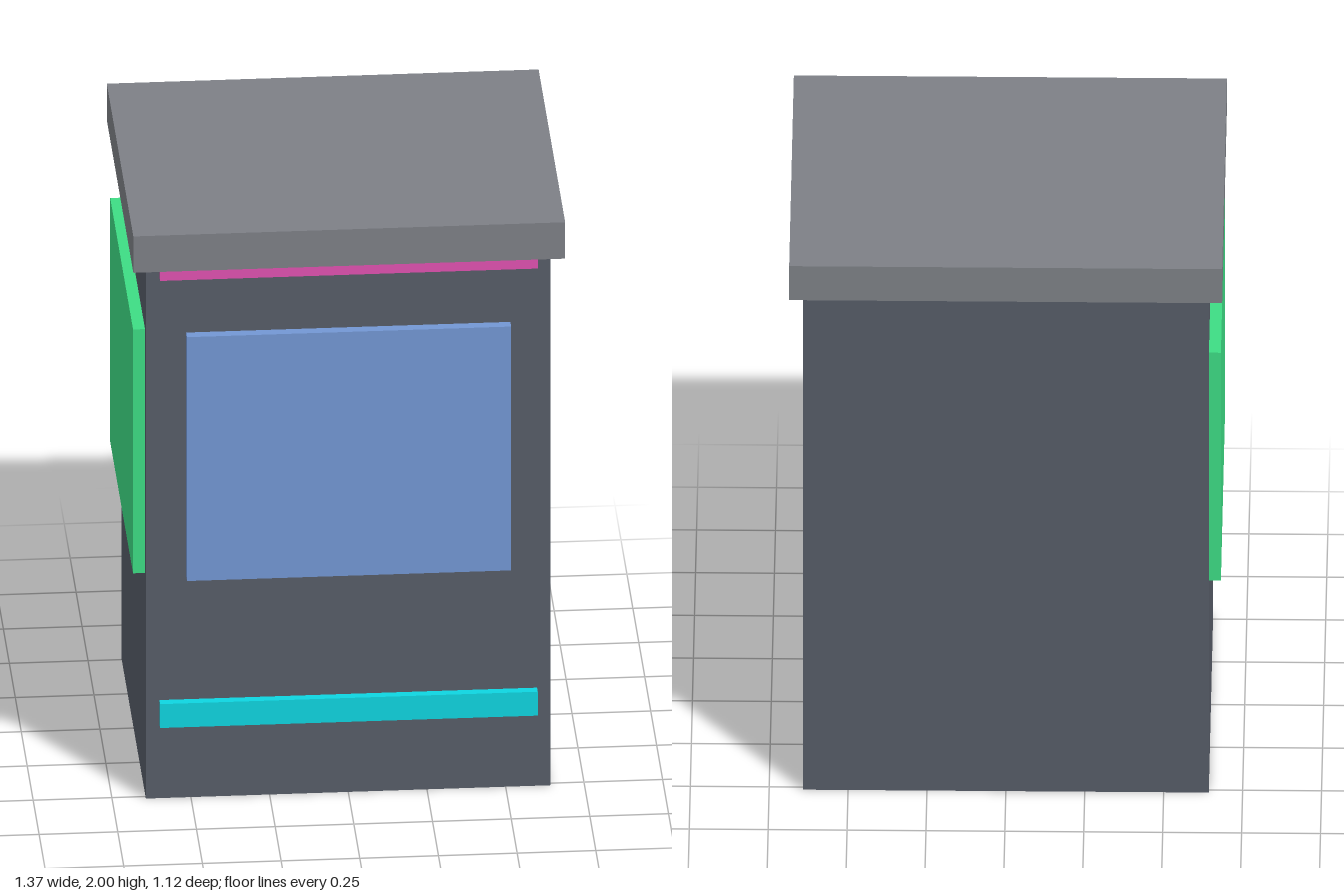
import * as THREE from 'three';

// Adds a box given its extents [min, max] along each axis
function addBox(group, name, color, [x0, x1], [y0, y1], [z0, z1]) {
  const mesh = new THREE.Mesh(
    new THREE.BoxGeometry(x1 - x0, y1 - y0, z1 - z0),
    new THREE.MeshStandardMaterial({ color })
  );
  mesh.name = name;
  mesh.position.set((x0 + x1) / 2, (y0 + y1) / 2, (z0 + z1) / 2);
  group.add(mesh);
  return mesh;
}

export function createModel() {
  const group = new THREE.Group();
  group.name = 'kiosk';

  const halfW = 0.643, halfD = 0.515; // cabinet half width and depth
  const roofY = 1.872;

  // Cabinet and overhanging roof slab
  addBox(group, 'cabinet', 0x565c67, [-halfW, halfW], [0, roofY], [-halfD, halfD]);
  addBox(group, 'roof', 0x7d8086, [-0.686, 0.686], [roofY, 2], [-0.558, 0.558]);

  // Front window and light strips, seated slightly into the cabinet
  addBox(group, 'frontWindow', 0x7397d4, [-0.515, 0.515], [0.777, 1.635], [0.5, 0.549]);
  addBox(group, 'upperLightStrip', 0xe052b0, [-0.6, 0.6], [1.834, 1.915], [0.5, 0.545]);
  addBox(group, 'lowerLightStrip', 0x0ed5e0, [-0.6, 0.6], [0.261, 0.345], [0.5, 0.545]);

  // Panel on the right side
  addBox(group, 'sidePanel', 0x3ddc84, [-0.681, -0.63], [0.777, 1.635], [-0.48, 0.48]);

  return group;
}
